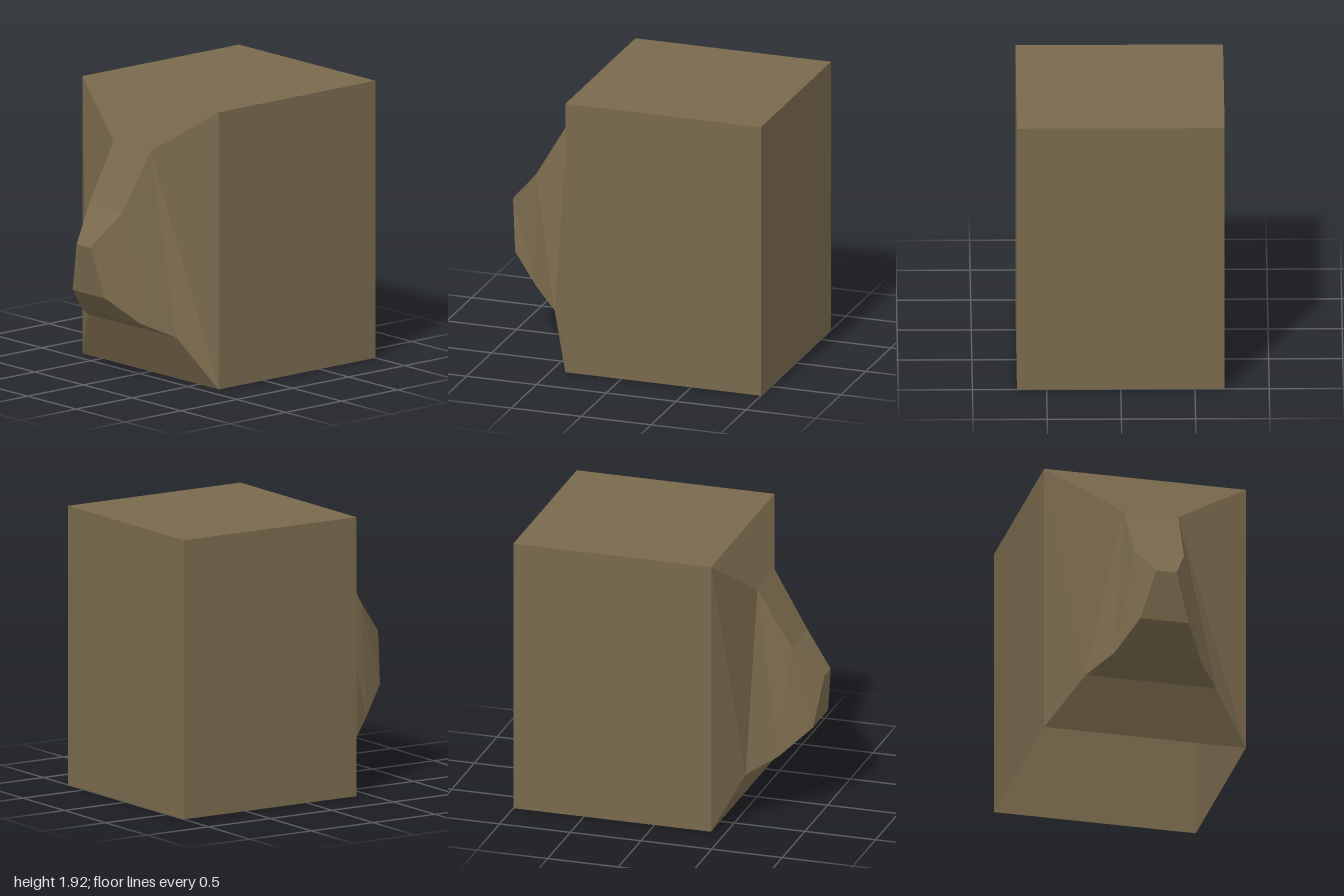
import * as THREE from 'three';

// Trapezoid section: top half-width/y/z, bottom half-width/y/z -> corners TL, TR, BR, BL
const section = (tw, ty, tz, bw, by, bz) => [
  [-tw, ty, tz], [tw, ty, tz], [bw, by, bz], [-bw, by, bz],
];

// Flat-faced skin between consecutive sections, over the chosen sides
// (0 top, 1 left, 2 bottom, 3 right), with an optional cap at either end
function loft(rings, sides, { capStart = false, capEnd = false } = {}) {
  const pts = [];
  for (let r = 0; r < rings.length - 1; r++) {
    const a = rings[r], b = rings[r + 1];
    for (const i of sides) {
      const j = (i + 1) % 4;
      pts.push(a[i], b[i], a[j], b[i], b[j], a[j]);
    }
  }
  if (capStart) {
    const c = rings[0];
    pts.push(c[0], c[1], c[2], c[0], c[2], c[3]);
  }
  if (capEnd) {
    const c = rings[rings.length - 1];
    pts.push(c[0], c[3], c[2], c[0], c[2], c[1]);
  }
  const geo = new THREE.BufferGeometry();
  geo.setAttribute('position', new THREE.Float32BufferAttribute(pts.flat(), 3));
  geo.computeVertexNormals();
  return geo;
}

export function createModel() {
  const group = new THREE.Group();
  const brown = new THREE.MeshStandardMaterial({
    name: 'brown', color: 0x7a694b, flatShading: true, side: THREE.DoubleSide,
  });

  const back = section(0.7, 1.92, -1, 0.7, 0, -1);
  const front = section(0.7, 1.92, 0.4, 0.7, 0, 0.4);

  // Box body, open underneath and towards the snout
  const body = new THREE.Mesh(loft([back, front], [0, 1, 3], { capStart: true }), brown);
  body.name = 'body';

  // Faceted snout tapering forward from the body
  const snout = new THREE.Mesh(loft([
    front,
    section(0.19, 1.585, 0.565, 0.453, 0.34, 0.565),
    section(0.172, 1.19, 0.8, 0.3, 0.437, 0.75),
    section(0.07, 0.963, 1, 0.168, 0.62, 0.95),
  ], [0, 1, 2, 3], { capEnd: true }), brown);
  snout.name = 'snout';

  group.add(body, snout);
  return group;
}
